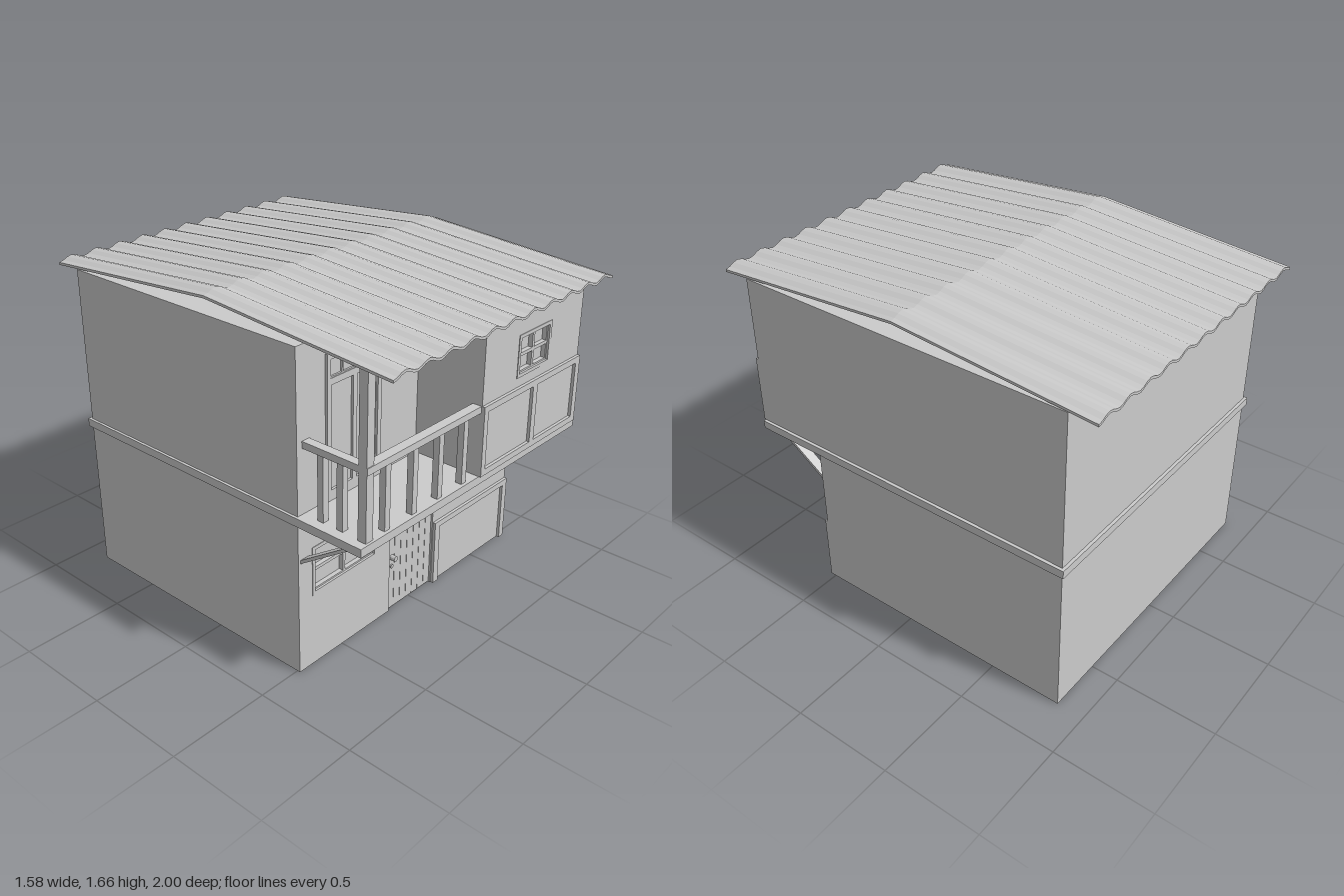
import * as THREE from 'three';

const grey = new THREE.MeshStandardMaterial({ color: 0xcccccc, flatShading: true });

export function createModel() {
  const root = new THREE.Group();

  const add = (name, geo, parent = root) => {
    const m = new THREE.Mesh(geo, grey);
    m.name = name;
    parent.add(m);
    return m;
  };
  // box given by its limits
  const box = (name, x0, x1, y0, y1, z0, z1, parent) => {
    const g = new THREE.BoxGeometry(x1 - x0, y1 - y0, z1 - z0);
    g.translate((x0 + x1) / 2, (y0 + y1) / 2, (z0 + z1) / 2);
    return add(name, g, parent);
  };
  const outline = (P, [x0, x1, y0, y1]) => {
    const p = new P();
    p.moveTo(x0, y0).lineTo(x1, y0).lineTo(x1, y1).lineTo(x0, y1).closePath();
    return p;
  };
  // upright sheet with rectangular openings, its front at z
  const sheet = (name, rect, holes, z, depth, parent) => {
    const s = outline(THREE.Shape, rect);
    s.holes = holes.map((h) => outline(THREE.Path, h));
    const g = new THREE.ExtrudeGeometry(s, { depth, bevelEnabled: false });
    return add(name, g.translate(0, 0, z - depth), parent);
  };
  // even grid of openings inside a rectangle
  const grid = ([x0, x1, y0, y1], cols, rows, edge, bar) => {
    const w = (x1 - x0 - 2 * edge - (cols - 1) * bar) / cols;
    const h = (y1 - y0 - 2 * edge - (rows - 1) * bar) / rows;
    const out = [];
    for (let i = 0; i < cols; i++) {
      for (let j = 0; j < rows; j++) {
        const x = x0 + edge + i * (w + bar), y = y0 + edge + j * (h + bar);
        out.push([x, x + w, y, y + h]);
      }
    }
    return out;
  };
  const windowFrame = (name, [x0, x1, y0, y1], z) => {
    const g = new THREE.Group();
    g.name = name;
    root.add(g);
    const e = 0.017;
    const inner = [x0 + e, x1 - e, y0 + e, y1 - e];
    sheet('windowCasing', [x0, x1, y0, y1], [inner], z + 0.003, 0.033, g);
    sheet('windowSash', inner, grid(inner, 2, 2, 0.008, 0.016), z - 0.008, 0.022, g);
  };

  const L = -0.78, R = 0.775, BACK = -0.865, MID = 0.515, FRONT = 0.865, T = 0.03;

  // ground storey, its front wall open for the window and door
  const lowWin = [-0.695, -0.265, 0.365, 0.61];
  box('groundStorey', L, R, 0, 0.76, BACK, MID - T);
  const wall = new THREE.Shape();
  [[L, 0], [-0.165, 0], [-0.165, 0.6], [0.16, 0.6], [0.16, 0], [R, 0], [R, 0.76], [L, 0.76]]
    .forEach(([x, y], i) => (i ? wall.lineTo(x, y) : wall.moveTo(x, y)));
  wall.holes.push(outline(THREE.Path, lowWin));
  add('groundFrontWall', new THREE.ExtrudeGeometry(wall, { depth: T, bevelEnabled: false })
    .translate(0, 0, MID - T));
  windowFrame('groundWindow', lowWin, MID);

  // plank front door with latch and lock
  const door = new THREE.Group();
  door.name = 'frontDoor';
  root.add(door);
  box('doorBack', -0.165, 0.16, 0, 0.6, MID - T, MID - 0.014, door);
  const pw = 0.325 / 7;
  for (let i = 0; i < 7; i++) {
    const x = -0.165 + i * pw;
    box('doorPlank', x + 0.001, x + pw - 0.001, 0.004, 0.598, MID - 0.02, MID - 0.01, door);
  }
  [[0.29, 0.014, 0.03], [0.24, 0.01, 0.008]].forEach(([y, r, d]) => {
    const g = new THREE.CylinderGeometry(r, r, d, 12).rotateX(Math.PI / 2);
    add('doorKnob', g.translate(-0.14, y, MID - 0.012 + d / 2), door);
  });

  // panelled surround at the ground front
  const surround = new THREE.Group();
  surround.name = 'groundPanelSurround';
  root.add(surround);
  box('surroundJamb', 0.165, 0.202, 0, 0.315, MID, 0.53, surround);
  box('surroundJamb', 0.74, R, 0, 0.315, MID, 0.53, surround);
  box('surroundHead', 0.165, R, 0.315, 0.345, MID, 0.53, surround);

  // floor slab that also runs round the walls as a band
  box('floorBand', -0.793, 0.79, 0.76, 0.8, -0.88, 0.87);

  // upper storey with the bay beside the balcony
  const upWin = [0.255, 0.515, 1.185, 1.39];
  box('upperStorey', L, R, 0.8, 1.558, BACK, MID);
  box('upperBay', 0, R, 0.8, 1.558, MID, FRONT - T);
  sheet('bayFrontWall', [0, R, 0.8, 1.558], [upWin], FRONT, T);
  windowFrame('bayWindow', upWin, FRONT);
  sheet('bayPanelling', [0, R, 0.8, 1.14],
    [[0.03, 0.38, 0.83, 1.11], [0.415, 0.74, 0.83, 1.11]], 0.88, 0.015);

  // balcony door: two tall lights under a transom of small panes
  const transom = [-0.59, -0.287, 1.365, 1.452];
  sheet('balconyDoor', [-0.61, -0.265, 0.8, 1.475],
    [transom, [-0.585, -0.45, 0.85, 1.335], [-0.425, -0.29, 0.85, 1.335]], MID + 0.012, 0.012);
  sheet('balconyTransom', transom, grid(transom, 4, 1, 0.006, 0.008), MID + 0.009, 0.009);

  // balcony post, rails and balusters
  const balcony = new THREE.Group();
  balcony.name = 'balcony';
  root.add(balcony);
  box('cornerPost', -0.75, -0.707, 0.8, 1.566, 0.815, 0.858, balcony);
  box('frontRail', -0.75, 0, 1.108, 1.14, 0.815, 0.862, balcony);
  box('sideRail', -0.75, -0.707, 1.108, 1.14, MID, 0.83, balcony);
  [-0.612, -0.436, -0.264, -0.092].forEach((x) =>
    box('baluster', x - 0.016, x + 0.016, 0.8, 1.11, 0.822, 0.854, balcony));
  [0.61, 0.715].forEach((z) =>
    box('sideBaluster', -0.745, -0.713, 0.8, 1.11, z - 0.016, z + 0.016, balcony));

  // slanted braces under the overhang
  [-0.743, -0.223, 0.255, 0.728].forEach((x) => {
    const s = new THREE.Shape();
    s.moveTo(MID - 0.005, 0.56).lineTo(0.815, 0.765).lineTo(0.79, 0.765).lineTo(MID - 0.005, 0.578);
    const g = new THREE.ExtrudeGeometry(s, { depth: 0.047, bevelEnabled: false });
    // the profile's x becomes z
    g.rotateY(-Math.PI / 2).translate(x + 0.0235, 0, 0);
    add('overhangBrace', g);
  });

  // corrugated roof: wavy sheet run front to back, lifted to a ridge
  const waves = 11, per = 6, top = [];
  for (let i = 0; i <= waves * per; i++) {
    const t = i / per;
    const y = 1.573 - 0.011 * Math.cos(t * 2 * Math.PI);
    top.push(new THREE.Vector2(L + (R - L) * t / waves, y));
  }
  const under = top.map((p) => new THREE.Vector2(p.x, p.y - 0.012)).reverse();
  const roof = new THREE.ExtrudeGeometry(new THREE.Shape([...top, ...under]),
    { depth: 2, steps: 2, bevelEnabled: false }).translate(0, 0, -1);
  const pos = roof.attributes.position;
  for (let i = 0; i < pos.count; i++) {
    pos.setY(i, pos.getY(i) + 0.078 * (1 - Math.abs(pos.getZ(i))));
  }
  roof.computeVertexNormals();
  add('corrugatedRoof', roof);

  return root;
}
